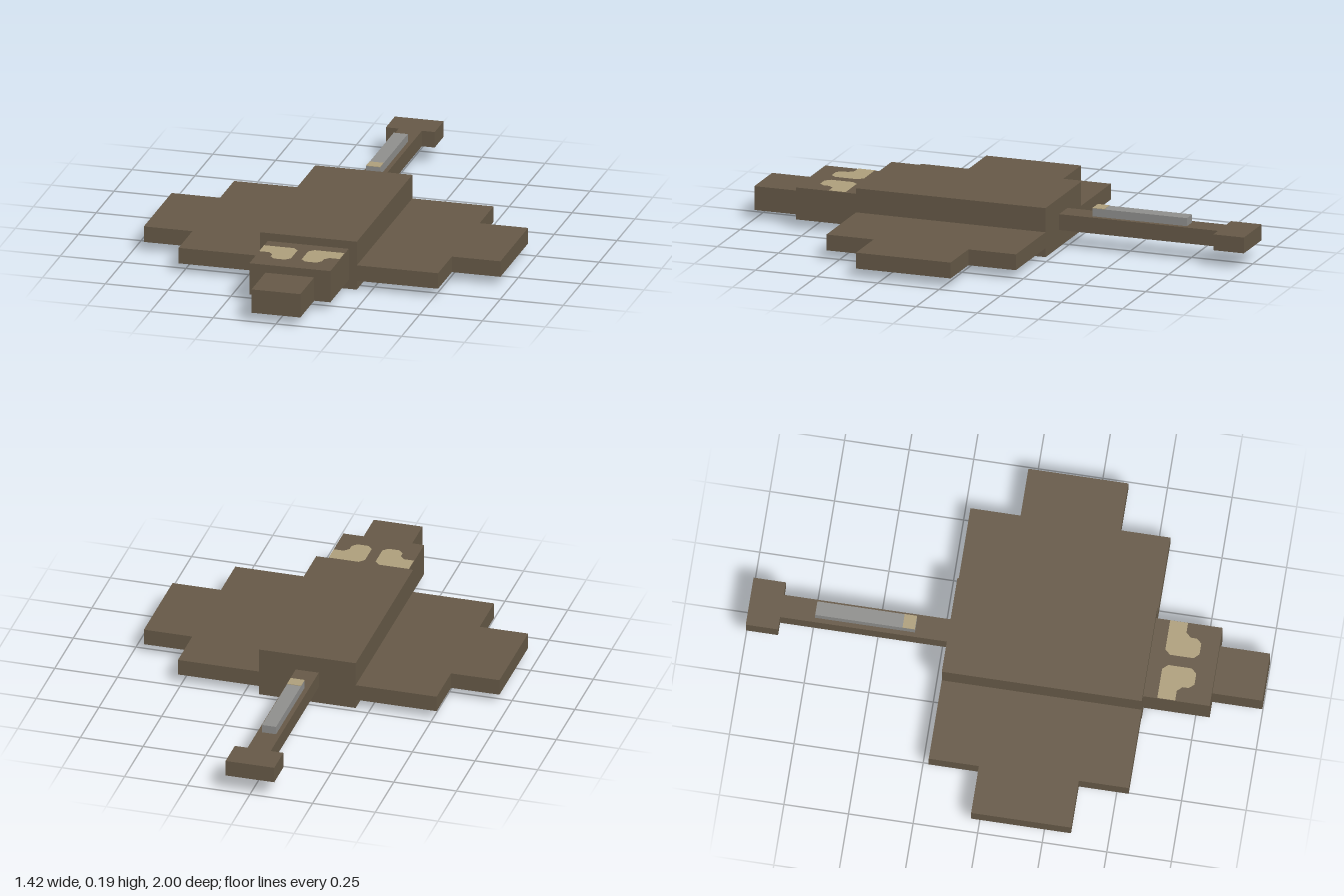
import * as THREE from 'three';

function material(name, color) {
  const m = new THREE.MeshStandardMaterial({ color });
  m.name = name;
  return m;
}

export function createModel() {
  const model = new THREE.Group();
  model.name = 'ray';
  const brown = material('brown skin', 0x665947);
  const grey = material('pale grey', 0x8f8f8d);
  const tan = material('tan markings', 0xae9f7c);

  // Box given by its limits, with its own material for the underside
  function block(name, [x0, x1], [y0, y1], [z0, z1], side = brown, under = side) {
    const geometry = new THREE.BoxGeometry(x1 - x0, y1 - y0, z1 - z0);
    const mesh = new THREE.Mesh(geometry, [side, side, side, under, side, side]);
    mesh.position.set((x0 + x1) / 2, (y0 + y1) / 2, (z0 + z1) / 2);
    mesh.name = name;
    model.add(mesh);
  }

  // Body, head and snout with a pale belly
  block('body', [-0.193, 0.193], [0, 0.195], [-0.226, 0.548], brown, grey);
  block('head', [-0.161, 0.161], [0.036, 0.163], [0.548, 0.806], brown, grey);
  block('snout', [-0.097, 0.097], [0.036, 0.131], [0.806, 1], brown, grey);

  // Stepped wings
  for (const [side, s] of [['left', 1], ['right', -1]]) {
    const span = (a, b) => (s > 0 ? [a, b] : [-b, -a]);
    block(side + 'InnerWing', span(0.193, 0.516), [0.036, 0.099], [-0.226, 0.548], brown, grey);
    block(side + 'OuterWing', span(0.516, 0.709), [0.036, 0.099], [-0.032, 0.355], brown, grey);
  }

  // Tail, its tip and the sting on top
  block('tail', [-0.046, 0.046], [0.068, 0.131], [-0.875, -0.226], brown, grey);
  block('tailTip', [-0.097, 0.097], [0.068, 0.131], [-1, -0.875]);
  block('sting', [-0.028, 0.028], [0.131, 0.163], [-0.742, -0.356], grey);
  block('stingMark', [-0.028, 0.028], [0.163, 0.165], [-0.404, -0.356], tan);

  // Head markings, mirrored
  const outline = [
    [0.16, 0.603], [0.04, 0.603], [0.021, 0.624], [0.021, 0.715], [0.04, 0.735],
    [0.085, 0.735], [0.102, 0.715], [0.102, 0.692], [0.12, 0.672], [0.16, 0.672],
  ];
  for (const [side, s] of [['left', 1], ['right', -1]]) {
    const shape = new THREE.Shape(outline.map(([x, z]) => new THREE.Vector2(s * x, -z)));
    const mark = new THREE.Mesh(new THREE.ShapeGeometry(shape), tan);
    mark.rotation.x = -Math.PI / 2;
    mark.position.y = 0.165;
    mark.name = side + 'HeadMark';
    model.add(mark);
  }
  return model;
}
